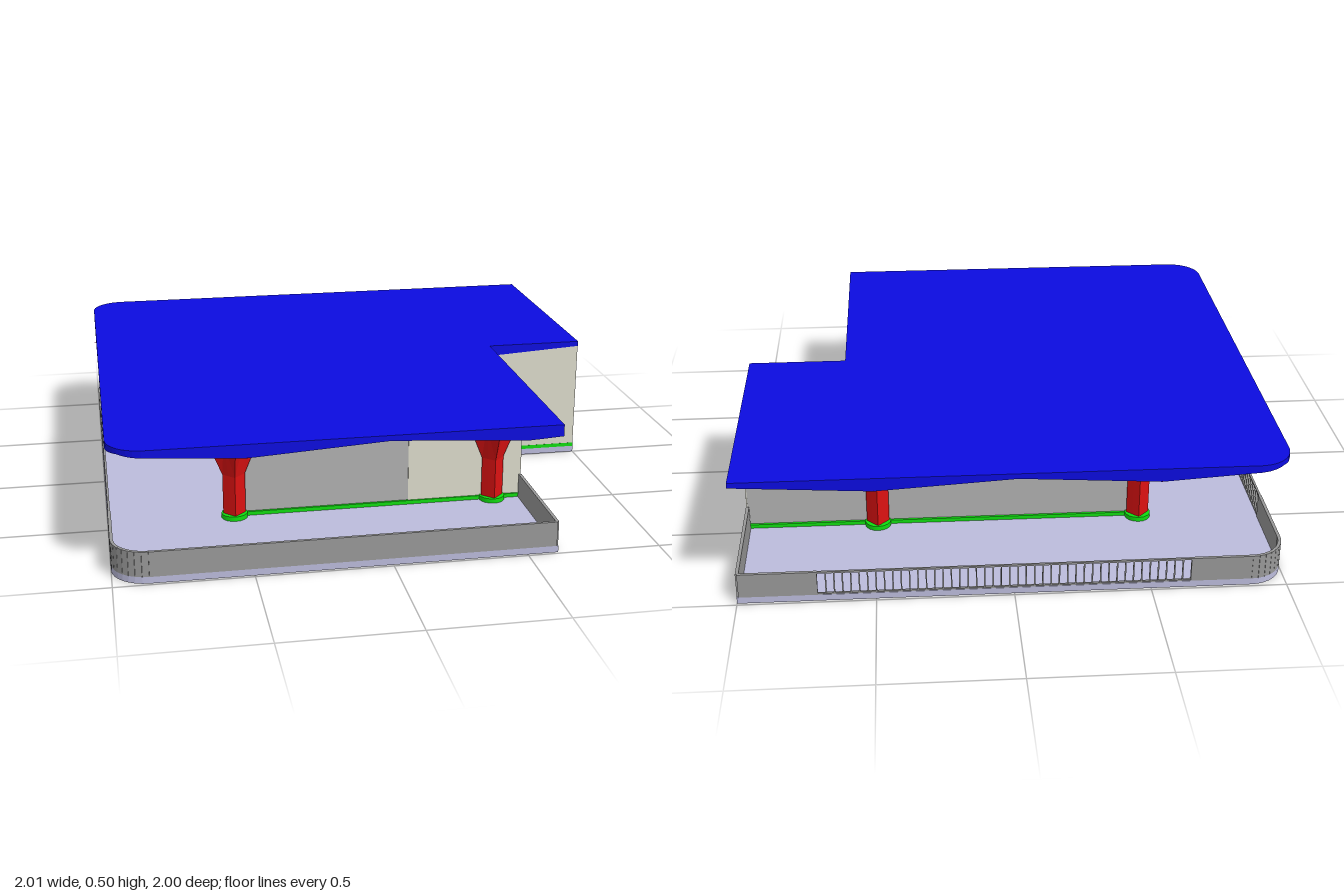
import * as THREE from 'three';

const R = 0.13;            // rounded corner radius on the -x side
const NX = 0.615;          // notch starts at this x, for z > 0
const Z = 0.99;            // half depth
const COLX = [-0.52, 0.495], COLZ = [-0.51, 0.51];

const mat = (color, extra = {}) => new THREE.MeshStandardMaterial({ color, ...extra });

function add(parent, name, geometry, material, x = 0, y = 0, z = 0) {
  const m = new THREE.Mesh(geometry, material);
  m.name = name;
  m.position.set(x, y, z);
  parent.add(m);
  return m;
}

// Horizontal plate from a shape drawn in (x, -z)
function plate(shape, y0, y1) {
  const g = new THREE.ExtrudeGeometry(shape, { depth: y1 - y0, bevelEnabled: false, curveSegments: 10 });
  return g.rotateX(-Math.PI / 2).translate(0, y0, 0);
}

function polygon(points) {
  return new THREE.Shape(points.map(([x, z]) => new THREE.Vector2(x, -z)));
}

// Quarter arc of plan points round a rear or front corner on the -x side
function arc(sign, inset = 0) {
  const pts = [];
  for (let i = 0; i <= 8; i++) {
    const a = (i / 8) * Math.PI / 2, r = R - inset;
    pts.push([-1 + R - r * Math.sin(a), sign * (Z - R + r * Math.cos(a))]);
  }
  return pts; // runs from the z edge to the x edge
}

// Folded roof: flat top, underside dipping along the column lines
function roofGeometry() {
  const steps = 16;
  const nodes = (knots, extra) => {
    const out = [];
    for (let k = 0; k < knots.length - 1; k++)
      for (let i = 0; i < steps; i++) out.push(knots[k] + (knots[k + 1] - knots[k]) * i / steps);
    out.push(knots[knots.length - 1]);
    if (extra !== undefined) out.push(extra);
    return out.sort((a, b) => a - b);
  };
  const kx = [-1, COLX[0], -0.012, COLX[1], 1], kz = [-Z, COLZ[0], 0, COLZ[1], Z];
  const xs = nodes(kx, NX), zs = nodes(kz);
  const dip = (v, k) => {
    let i = 0;
    while (i < 3 && v > k[i + 1]) i++;
    const t = (v - k[i]) / (k[i + 1] - k[i]);
    return i % 2 ? 1 - t : t;
  };
  const pos = [];
  const P = (i, j, top) => {
    let x = xs[i], z = zs[j];
    const y = top ? 0.495 : 0.475 - 0.031 * Math.max(dip(x, kx), dip(z, kz));
    const u = -1 + R - x, v = Math.abs(z) - Z + R;
    if (u > 0 && v > 0) {
      const s = Math.max(u, v) / Math.hypot(u, v);
      x = -1 + R - u * s;
      z = Math.sign(z) * (Z - R + v * s);
    }
    return [x, y, z];
  };
  const tri = (a, b, c) => pos.push(...a, ...b, ...c);
  const quad = (a, b, c, d) => { tri(a, b, c); tri(a, c, d); };
  const inside = (i, j) => i >= 0 && j >= 0 && i < xs.length - 1 && j < zs.length - 1 &&
    !(xs[i] > NX - 1e-6 && zs[j] > -1e-6);
  for (let i = 0; i < xs.length - 1; i++) for (let j = 0; j < zs.length - 1; j++) {
    if (!inside(i, j)) continue;
    const t = [P(i, j, 1), P(i, j + 1, 1), P(i + 1, j + 1, 1), P(i + 1, j, 1)];
    const b = [P(i, j, 0), P(i, j + 1, 0), P(i + 1, j + 1, 0), P(i + 1, j, 0)];
    quad(...t);
    // choose the diagonal that follows the fold
    const fx = Math.floor(i / steps) % 2, fz = Math.floor(j / steps) % 2;
    if (fx === fz) quad(b[0], b[3], b[2], b[1]);
    else quad(b[1], b[0], b[3], b[2]);
    [[-1, 0], [0, 1], [1, 0], [0, -1]].forEach(([di, dj], k) => {
      if (!inside(i + di, j + dj)) quad(t[k], b[k], b[(k + 1) % 4], t[(k + 1) % 4]);
    });
  }
  const g = new THREE.BufferGeometry();
  g.setAttribute('position', new THREE.Float32BufferAttribute(pos, 3));
  g.computeVertexNormals();
  return g;
}

// Diamond column that opens into four tapering arms
function columnGeometry(cx, cz, maxX) {
  const levels = [ // y, arm reach, valley radius
    [0.025, 0.043, 0.031], [0.2, 0.043, 0.031], [0.34, 0.1, 0.055],
    [0.4, 0.215, 0.085], [0.447, 0.49, 0.12]];
  const pos = [], idx = [];
  levels.forEach(([y, tip, valley]) => {
    for (let k = 0; k < 8; k++) {
      const a = k * Math.PI / 4, r = k % 2 ? valley : tip;
      pos.push(Math.min(cx + r * Math.cos(a), maxX), y, cz + r * Math.sin(a));
    }
  });
  for (let l = 0; l < levels.length - 1; l++) for (let k = 0; k < 8; k++) {
    const a = l * 8 + k, b = l * 8 + (k + 1) % 8;
    // keep arm ridges straight on both sides
    if (k % 2) idx.push(a, a + 8, b, b, a + 8, b + 8);
    else idx.push(a, b + 8, b, a, a + 8, b + 8);
  }
  const g = new THREE.BufferGeometry();
  g.setAttribute('position', new THREE.Float32BufferAttribute(pos, 3));
  g.setIndex(idx);
  g.computeVertexNormals();
  return g;
}

// Upright strip of boxes along a plan polyline
function strip(parent, name, pts, y0, y1, thick, material) {
  const group = new THREE.Group();
  group.name = name;
  for (let i = 0; i < pts.length - 1; i++) {
    const [ax, az] = pts[i], [bx, bz] = pts[i + 1];
    const m = add(group, name + 'Segment',
      new THREE.BoxGeometry(Math.hypot(bx - ax, bz - az), y1 - y0, thick), material,
      (ax + bx) / 2, (y0 + y1) / 2, (az + bz) / 2);
    m.rotation.y = -Math.atan2(bz - az, bx - ax);
  }
  parent.add(group);
}

function railing(parent, name, a, b, material) {
  strip(parent, name + 'TopRail', [a, b], 0.113, 0.12, 0.008, material);
  strip(parent, name + 'BottomRail', [a, b], 0.025, 0.03, 0.008, material);
  const n = Math.round(Math.hypot(b[0] - a[0], b[1] - a[1]) / 0.03);
  const bar = new THREE.BoxGeometry(0.005, 0.09, 0.005);
  for (let i = 1; i < n; i++)
    add(parent, name + 'Bar', bar, material,
      a[0] + (b[0] - a[0]) * i / n, 0.072, a[1] + (b[1] - a[1]) * i / n);
}

export function createModel() {
  const model = new THREE.Group();
  model.name = 'pavilion';
  const cream = mat(0xdddccc), grey = mat(0xb0b0b0), stone = mat(0x999999);
  const red = mat(0xdd1212, { flatShading: true, side: THREE.DoubleSide });
  const green = mat(0x10dd10), blue = mat(0x0c0ce0, { flatShading: true });

  // Terrace slab
  const outline = [[1, -Z], ...arc(-1), ...arc(1).reverse(), [NX, Z], [NX, 0], [1, 0]];
  add(model, 'terraceSlab', plate(polygon(outline), 0, 0.025), mat(0xbcbcdc));

  // Building body with a green plinth
  const e = 0.004, bx = COLX[0] + 0.01, bz = 0.5;
  const body = (o) => polygon([[bx - o, -bz - o], [1 - e + Math.min(o, e), -bz - o],
    [1 - e + Math.min(o, e), -e + Math.min(o, e)], [NX - e + Math.min(o, e), -e + Math.min(o, e)],
    [NX - e + Math.min(o, e), bz + o], [bx - o, bz + o]]);
  add(model, 'plinth', plate(body(0.01), 0.025, 0.04), green);
  add(model, 'walls', plate(body(0), 0.04, 0.474), grey);

  // Cream cladding on the front bay, notch and +x side
  const clad = (name, w, d, x, z) =>
    add(model, name, new THREE.BoxGeometry(w, 0.434, d), cream, x, 0.257, z);
  clad('frontCladding', NX - 0.162, 0.004, (NX + 0.158) / 2, bz + 0.001);
  clad('notchSideCladding', 0.004, bz, NX - 0.003, bz / 2);
  clad('notchFrontCladding', 1 - NX, 0.004, (1 + NX) / 2 - 0.001, -0.003);
  clad('sideCladding', 0.004, bz, 0.997, -bz / 2 - 0.001);

  // Pointed door in the notch wall
  const door = new THREE.Shape([[-0.063, 0], [0.063, 0], [0.063, 0.235], [0, 0.3], [-0.063, 0.235]]
    .map(p => new THREE.Vector2(...p)));
  add(model, 'door', new THREE.ExtrudeGeometry(door, { depth: 0.006, bevelEnabled: false }),
    mat(0xa89e8c), NX - 0.003, 0.04, 0.107).rotation.y = Math.PI / 2;

  // Columns with branching arms
  for (const x of COLX) for (const z of COLZ) {
    const clipped = x > 0 && z > 0;
    add(model, 'branchingColumn', columnGeometry(x, z, clipped ? NX - 0.001 : 1), red);
    add(model, 'columnFoot', new THREE.CylinderGeometry(0.05, 0.05, 0.018, 16), green, x, 0.034, z);
  }

  // Parapet: solid lengths with open railings at the rear and the -x side
  const t = 0.012, h = t / 2, y0 = 0.025, y1 = 0.12;
  strip(model, 'rearParapet', [[1 - h, -0.51], [1 - h, -Z + h], [0.71, -Z + h]], y0, y1, t, stone);
  strip(model, 'rearCornerParapet',
    [[-0.645, -Z + h], ...arc(-1, h), [-1 + h, -0.55]], y0, y1, t, stone);
  strip(model, 'frontParapet',
    [[-1 + h, 0.6], ...arc(1, h).reverse(), [NX - h, Z - h], [NX - h, 0.51]], y0, y1, t, stone);
  railing(model, 'rearRailing', [-0.645, -Z + h], [0.71, -Z + h], stone);
  railing(model, 'sideRailing', [-1 + h, -0.55], [-1 + h, 0.6], stone);

  add(model, 'roof', roofGeometry(), blue);
  return model;
}
